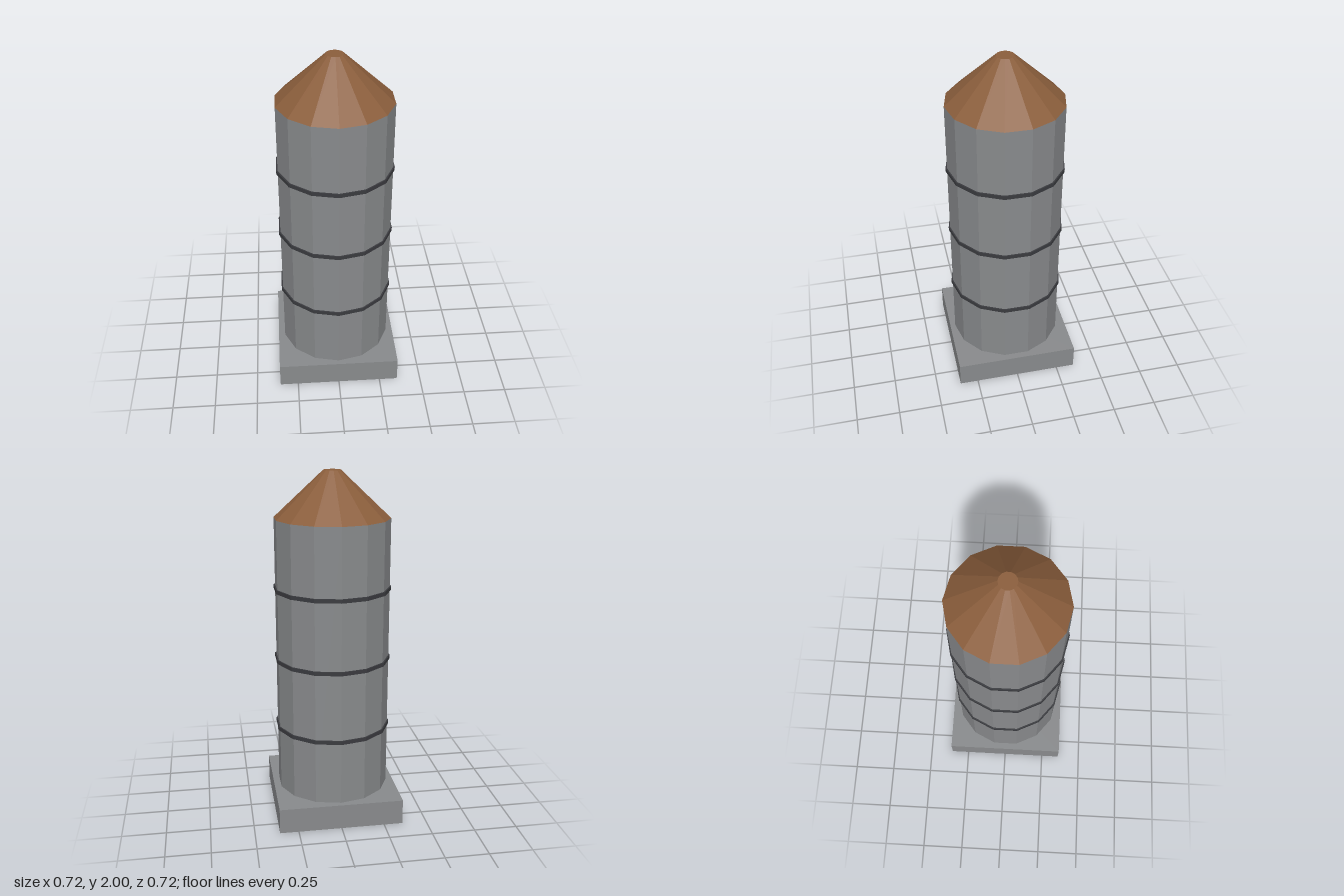
import * as THREE from 'three';

const SIDES = 14;

export function createModel() {
  const model = new THREE.Group();
  model.name = 'silo';

  const mat = (name, color) => {
    const m = new THREE.MeshStandardMaterial({ color, flatShading: true });
    m.name = name;
    return m;
  };
  const grey = mat('concreteGrey', 0x888a8c);
  const dark = mat('bandDark', 0x3a3b3f);
  const brown = mat('roofBrown', 0x8b5e3c);

  const add = (name, geometry, material, y) => {
    const mesh = new THREE.Mesh(geometry, material);
    mesh.name = name;
    mesh.position.y = y;
    model.add(mesh);
  };
  const drum = (top, bottom, height) => new THREE.CylinderGeometry(top, bottom, height, SIDES);

  // Square plinth
  add('base', new THREE.BoxGeometry(0.716, 0.147, 0.716), grey, 0.0735);

  // Faceted tower wall
  add('tower', drum(0.327, 0.327, 1.593), grey, 0.9435);

  // Three hoops around the wall
  for (let i = 0; i < 3; i++) {
    add(`band${i + 1}`, drum(0.335, 0.335, 0.022), dark, 0.525 + i * 0.41);
  }

  // Truncated cone roof
  add('roof', drum(0.049, 0.327, 0.26), brown, 1.87);

  return model;
}
